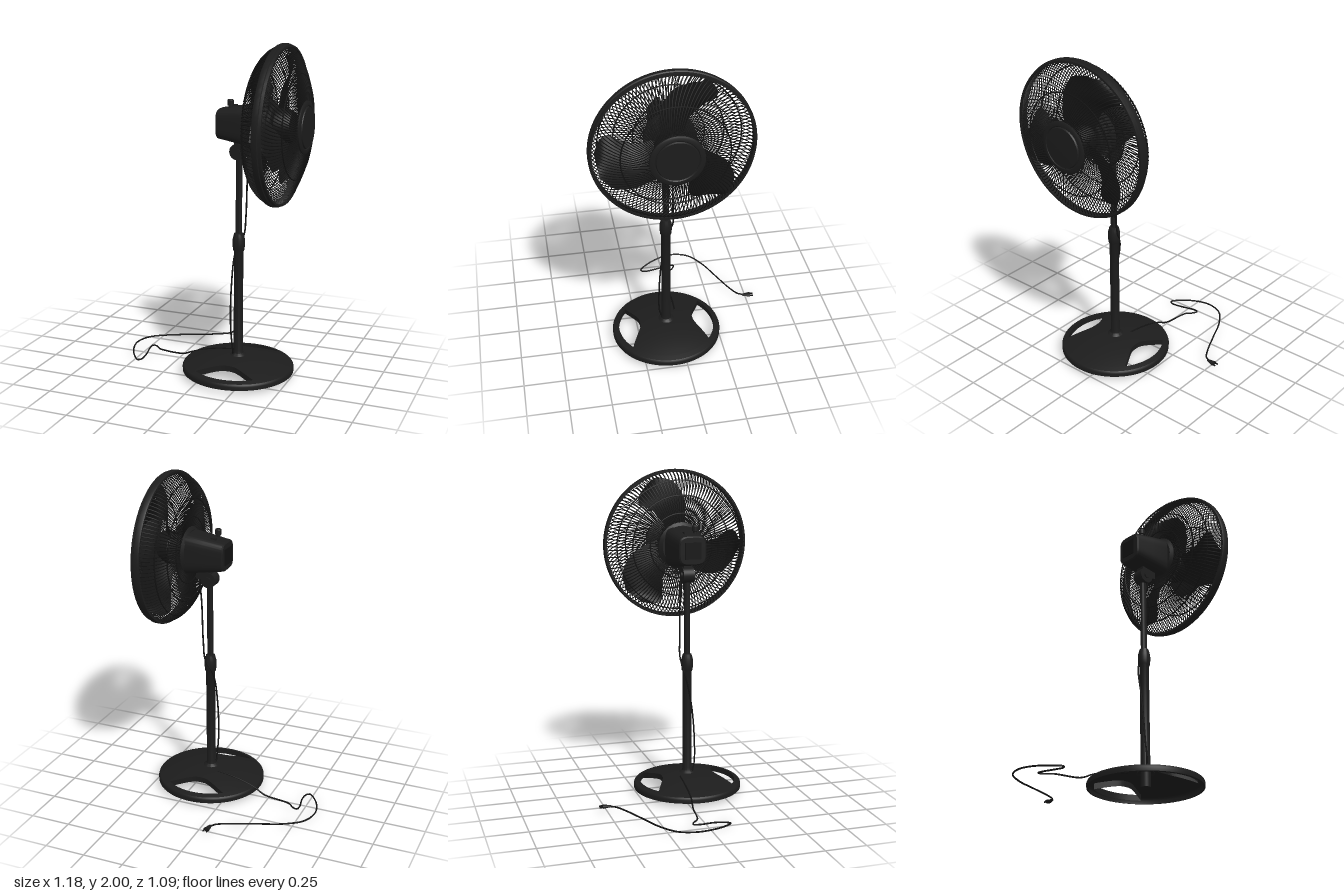
import * as THREE from 'three';
import { mergeGeometries, toCreasedNormals } from 'three/addons/utils/BufferGeometryUtils.js';

const paint = (name, color) => {
  const m = new THREE.MeshStandardMaterial({ color, side: THREE.DoubleSide });
  m.name = name;
  return m;
};
const V = (x, y, z) => new THREE.Vector3(x, y, z);
const PX = 0.173, PZ = 0.077, AXIS_Y = 1.54; // pole position and fan axis height

// Surface through fn(u, v) -> [x, y, z], with u and v in 0..1
function grid(fn, nu, nv, crease = 0.6) {
  const pos = [], idx = [];
  for (let j = 0; j <= nv; j++)
    for (let i = 0; i <= nu; i++) pos.push(...fn(i / nu, j / nv));
  for (let j = 0; j < nv; j++)
    for (let i = 0; i < nu; i++) {
      const a = j * (nu + 1) + i, b = a + nu + 1;
      idx.push(a, b, a + 1, a + 1, b, b + 1);
    }
  const g = new THREE.BufferGeometry();
  g.setAttribute('position', new THREE.Float32BufferAttribute(pos, 3));
  g.setIndex(idx);
  return toCreasedNormals(g, crease);
}

const lathe = (pts, seg = 48) =>
  toCreasedNormals(new THREE.LatheGeometry(pts.map(([r, y]) => new THREE.Vector2(r, y)), seg), 0.6);

const tube = (pts, r, seg, sides = 6) =>
  new THREE.TubeGeometry(new THREE.CatmullRomCurve3(pts), seg, r, sides);

export function createModel() {
  const root = new THREE.Group();
  const body = paint('charcoal plastic', 0x1c1c1c);
  const wire = paint('black wire', 0x121212);
  const bladeMat = paint('dark blade plastic', 0x161616);
  const add = (parent, name, geo, mat, x = 0, y = 0, z = 0) => {
    const m = new THREE.Mesh(geo, mat);
    m.name = name;
    m.position.set(x, y, z);
    parent.add(m);
    return m;
  };

  // Base: hollow dome with two lens-shaped openings on the z sides
  const base = new THREE.Group();
  base.name = 'base';
  base.position.set(PX, 0, PZ);
  root.add(base);
  const HALF = Math.PI * 37.5 / 180, ROUT = 0.299, R = 0.33;
  const height = r => 0.12 - 0.058 * (r / R) ** 2;
  const inner = a => {
    const off = Math.abs(Math.asin(Math.cos(a))); // angle from the nearest z direction
    return 0.167 + (ROUT - 0.167) * Math.min(1, off / HALF) ** 2.6;
  };
  const polar = (r, a, y) => [r * Math.cos(a), y, r * Math.sin(a)];
  add(base, 'baseTop', grid((u, v) => {
    const a = -u * 2 * Math.PI, r = v * inner(a);
    return polar(r, a, height(r));
  }, 144, 10), body);
  add(base, 'baseRim', grid((u, v) => {
    const a = -u * 2 * Math.PI, r = ROUT + v * (R - ROUT);
    return polar(r, a, height(r));
  }, 144, 2), body);
  add(base, 'baseEdge', lathe([[0.325, 0.024], [0.337, 0.026], [0.338, 0.048], [0.335, 0.057], [R, 0.062]], 96), body);
  for (const s of [-1, 1]) {
    for (const edge of [inner, () => ROUT])
      add(base, 'openingWall', grid((u, v) => {
        const a = s * Math.PI / 2 + (u * 2 - 1) * HALF, r = edge(a);
        return polar(r, a, height(r) - v * 0.035);
      }, 30, 1), body);
  }
  add(base, 'poleSocket', new THREE.CylinderGeometry(0.03, 0.03, 0.09, 24), body, 0, 0.075, 0);

  // Telescopic pole with foot flare and clamp collar
  add(root, 'pole', lathe([
    [0.055, 0.112], [0.045, 0.122], [0.032, 0.132], [0.028, 0.15], [0.028, 0.77],
    [0.034, 0.782], [0.037, 0.81], [0.037, 0.845], [0.031, 0.868], [0.027, 0.882], [0.019, 0.884], [0.019, 1.35],
  ], 32), body, PX, 0, PZ);

  // Tilt joint under the motor
  const joint = add(root, 'tiltJoint', new THREE.CylinderGeometry(0.048, 0.048, 0.07, 32), body, 0.172, 1.375, PZ);
  joint.rotation.x = Math.PI / 2;
  const bolt = add(root, 'tiltBolt', new THREE.CylinderGeometry(0.02, 0.02, 0.085, 20), body, 0.172, 1.375, PZ);
  bolt.rotation.x = Math.PI / 2;
  add(root, 'tiltNeck', new THREE.BoxGeometry(0.1, 0.09, 0.055), body, 0.2, 1.42, PZ);
  add(root, 'tiltKnob', new THREE.CylinderGeometry(0.016, 0.016, 0.05, 16), body, 0.245, 1.405, PZ);

  // Motor housing: rounded-square sections [x, half height, half width]
  const sections = [[0.055, 0, 0], [0.055, 0.08, 0.078], [0.062, 0.087, 0.086], [0.18, 0.106, 0.099],
    [0.285, 0.122, 0.107], [0.3, 0.122, 0.107]];
  add(root, 'motorHousing', grid((u, v) => {
    const [x, h, w] = sections[Math.round(v * 5)], a = u * 2 * Math.PI;
    const sq = t => Math.sign(t) * Math.abs(t) ** 0.5;
    return [x, 1.535 + h * sq(Math.sin(a)), PZ + w * sq(Math.cos(a))];
  }, 64, 5), body);
  add(root, 'rearPanel', new THREE.BoxGeometry(0.006, 0.1, 0.1), wire, 0.053, 1.535, PZ);
  add(root, 'oscillationKnob', lathe([[0.012, 0], [0.012, 0.03], [0.019, 0.032], [0.019, 0.06], [0.015, 0.065], [0, 0.065]], 20),
    body, 0.133, 1.615, 0.115);
  add(root, 'topButton', new THREE.BoxGeometry(0.035, 0.02, 0.012), body, 0.133, 1.632, 0.047);

  // Fan head: local y runs along the fan axis
  const head = new THREE.Group();
  head.name = 'fanHead';
  head.rotation.z = -Math.PI / 2;
  head.position.set(0, AXIS_Y, 0.08);
  root.add(head);
  add(head, 'guardMount', lathe([[0, 0.285], [0.125, 0.285], [0.145, 0.3], [0.145, 0.335], [0.13, 0.338],
    [0.13, 0.37], [0.11, 0.373], [0.11, 0.392], [0, 0.392]]), body);
  for (let i = 0; i < 24; i++) {
    const a = i / 24 * 2 * Math.PI;
    const rib = add(head, 'mountRib', new THREE.BoxGeometry(0.02, 0.065, 0.008), body, 0.135 * Math.cos(a), 0.345, 0.135 * Math.sin(a));
    rib.rotation.y = -a;
  }
  add(head, 'bladeHub', lathe([[0, 0.395], [0.09, 0.395], [0.1, 0.41], [0.098, 0.475], [0.085, 0.5], [0.03, 0.515], [0, 0.515]]), bladeMat);
  add(head, 'frontBadge', lathe([[0, 0.558], [0.14, 0.558], [0.152, 0.565], [0.152, 0.578], [0.142, 0.584],
    [0.125, 0.584], [0.12, 0.579], [0.115, 0.587], [0, 0.59]], 64), body);

  // Three swept blades spanned between a left and a right edge
  const left = new THREE.CatmullRomCurve3([V(-0.07, 0.07, 0), V(-0.083, 0.2, 0), V(-0.065, 0.3, 0), V(0, 0.385, 0), V(0.1, 0.413, 0)]);
  const right = new THREE.CatmullRomCurve3([V(0.075, 0.06, 0), V(0.1, 0.15, 0), V(0.165, 0.215, 0), V(0.243, 0.255, 0),
    V(0.25, 0.3, 0), V(0.19, 0.38, 0)]);
  const bladeGeo = grid((s, t) => {
    const p = left.getPoint(t).lerp(right.getPoint(t), s);
    const depth = 0.435 - (s - 0.5) * 0.1 + 0.02 * Math.sin(s * Math.PI);
    return [-p.y, depth, -p.x];
  }, 10, 16, 1.2);
  for (let i = 0; i < 3; i++) add(head, 'blade', bladeGeo, bladeMat).rotation.y = i * 2 * Math.PI / 3;

  // Wire guard: profiles are [radius, axial position], twisted by an angle towards the rim
  const guard = (name, profile, count, twist) => {
    const n = profile.length - 1;
    const pts = profile.map(([r, y], i) => {
      const a = twist * i / n;
      return V(r * Math.cos(a), y, r * Math.sin(a));
    });
    const one = tube(pts, 0.0031, 12, 4);
    const all = [];
    for (let i = 0; i < count; i++) all.push(one.clone().rotateY(i / count * 2 * Math.PI));
    add(head, name, mergeGeometries(all), wire);
  };
  guard('rearGuard', [[0.12, 0.302], [0.24, 0.3], [0.32, 0.304], [0.38, 0.325], [0.425, 0.362], [0.447, 0.398], [0.452, 0.43]], 120, 0);
  guard('frontGuard', [[0.14, 0.572], [0.2, 0.56], [0.28, 0.537], [0.36, 0.505], [0.42, 0.474], [0.452, 0.442]], 120, 0.3);
  for (const [r, y] of [[0.2, 0.3], [0.31, 0.303], [0.4, 0.34], [0.3, 0.53]]) {
    const ring = add(head, 'guardRing', new THREE.TorusGeometry(r, 0.004, 5, 96), wire, 0, y, 0);
    ring.rotation.x = Math.PI / 2;
  }
  add(head, 'guardRim', lathe([[0.446, 0.41], [0.46, 0.41], [0.464, 0.42], [0.464, 0.442], [0.458, 0.446],
    [0.456, 0.462], [0.444, 0.463], [0.446, 0.41]], 96), body);

  // Power cord: down the pole, then along the floor to the plug
  add(root, 'poleCord', tube([V(0.24, 1.41, 0.06), V(0.215, 1.25, 0.045), V(0.203, 0.98, 0.038), V(0.19, 0.86, 0.036),
    V(0.145, 0.76, 0.055), V(0.134, 0.55, 0.095), V(0.138, 0.3, 0.115), V(0.15, 0.17, 0.115), V(0.15, 0.115, 0.1)], 0.005, 80), wire);
  add(root, 'floorCord', tube([V(0.1, 0.116, 0.01), V(0, 0.103, 0.006), V(-0.1, 0.078, 0.004), V(-0.165, 0.055, 0), V(-0.23, 0.028, -0.012),
    V(-0.4, 0.022, -0.04), V(-0.44, 0.022, -0.075), V(-0.47, 0.022, -0.085), V(-0.475, 0.02, -0.05), V(-0.457, 0.014, 0.05),
    V(-0.458, 0.007, 0.12), V(-0.475, 0.007, 0.14), V(-0.52, 0.012, 0.095), V(-0.57, 0.02, 0), V(-0.588, 0.024, -0.1),
    V(-0.555, 0.024, -0.2), V(-0.45, 0.024, -0.28), V(-0.3, 0.026, -0.345), V(-0.15, 0.028, -0.41), V(-0.085, 0.03, -0.45),
    V(-0.065, 0.032, -0.485)], 0.005, 180), wire);
  const plug = new THREE.Group();
  plug.name = 'plug';
  plug.position.set(-0.062, 0.032, -0.5);
  plug.rotation.y = -0.1;
  root.add(plug);
  const shell = add(plug, 'plugBody', new THREE.CylinderGeometry(0.02, 0.009, 0.05, 12), body);
  shell.rotation.x = -Math.PI / 2;
  shell.scale.z = 0.6;
  for (const s of [-1, 1]) add(plug, 'prong', new THREE.BoxGeometry(0.004, 0.01, 0.026), wire, s * 0.011, 0, -0.034);

  return root;
}
